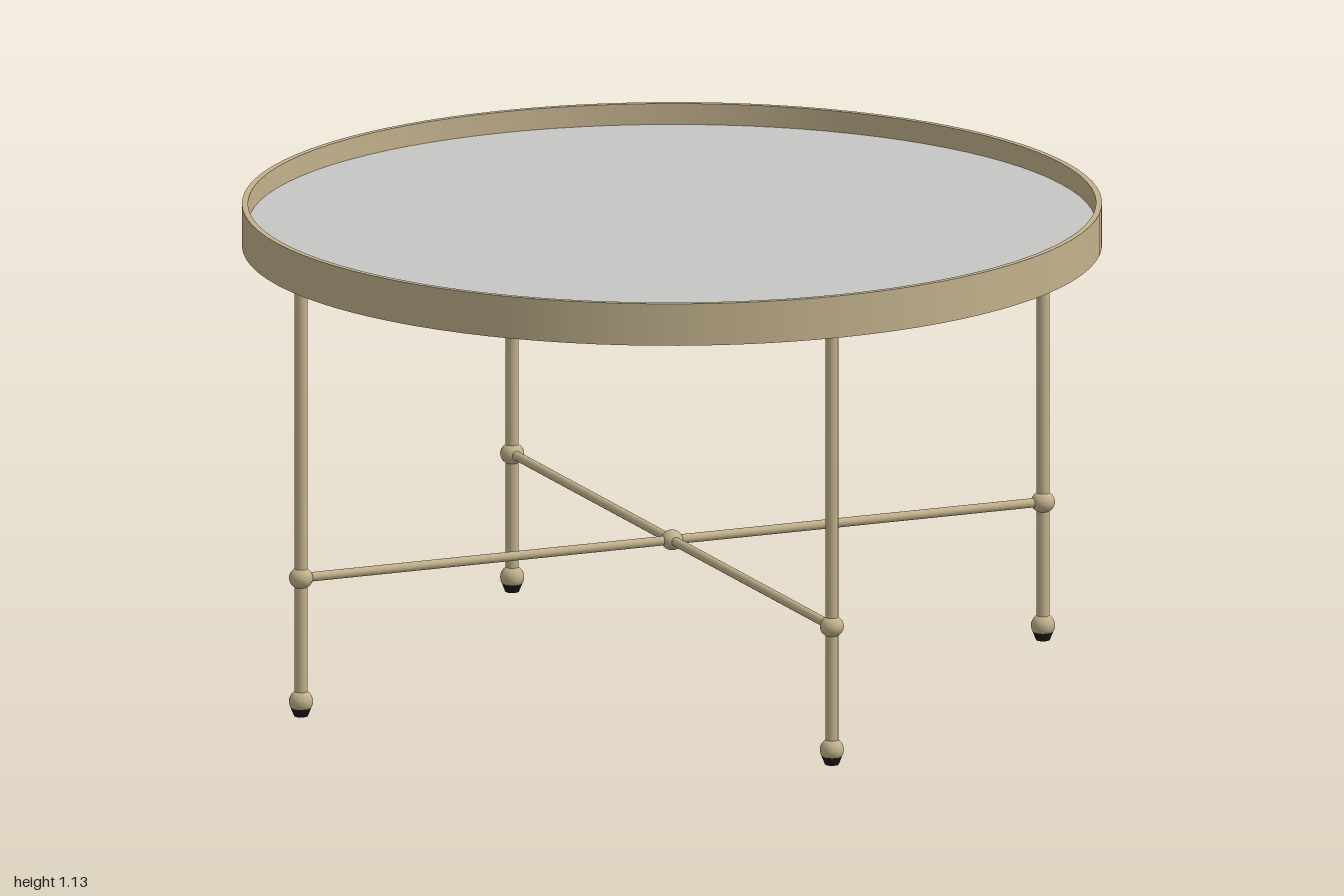
import * as THREE from 'three';

export function createModel() {
  const brass = new THREE.MeshStandardMaterial({ color: 0xc2b18c });
  brass.name = 'brass';
  const glass = new THREE.MeshStandardMaterial({ color: 0xc6c6c4 });
  glass.name = 'pale glass';
  const rubber = new THREE.MeshStandardMaterial({ color: 0x1c1a16 });
  rubber.name = 'dark rubber';

  const table = new THREE.Group();
  table.name = 'roundTrayTable';

  function add(parent, name, geometry, material, x = 0, y = 0, z = 0) {
    const mesh = new THREE.Mesh(geometry, material);
    mesh.name = name;
    mesh.position.set(x, y, z);
    parent.add(mesh);
    return mesh;
  }
  const ball = (r) => new THREE.SphereGeometry(r, 24, 16);

  const LEG_X = 0.94, LEG_Z = 0.93;
  const RIM_TOP = 1.135, TRAY_BOTTOM = 1.035, GLASS_Y = 1.085;

  // Tray: raised rim and base, each profile segment lathed separately for crisp edges
  const tray = new THREE.Group();
  tray.name = 'tray';
  tray.scale.z = 0.995;
  table.add(tray);
  const profile = [
    [0, TRAY_BOTTOM], [1, TRAY_BOTTOM], [1, RIM_TOP],
    [0.986, RIM_TOP], [0.986, GLASS_Y - 0.004],
  ].map(([r, y]) => new THREE.Vector2(r, y));
  const names = ['trayUnderside', 'rimOutside', 'rimTop', 'rimInside'];
  names.forEach((name, i) => {
    add(tray, name, new THREE.LatheGeometry([profile[i], profile[i + 1]], 96), brass);
  });
  add(tray, 'glassTop', new THREE.CylinderGeometry(0.986, 0.986, 0.008, 96), glass, 0, GLASS_Y - 0.004, 0);

  // Four legs, each with a collar ball, a ball foot and a small pad
  const spots = [['left', LEG_X, 0], ['right', -LEG_X, 0], ['front', 0, LEG_Z], ['back', 0, -LEG_Z]];
  for (const [side, x, z] of spots) {
    const leg = new THREE.Group();
    leg.name = side + 'Leg';
    leg.position.set(x, 0, z);
    table.add(leg);
    add(leg, 'post', new THREE.CylinderGeometry(0.015, 0.015, 1.005, 20), brass, 0, 0.5325, 0);
    add(leg, 'collarBall', ball(0.028), brass, 0, 0.33, 0).scale.y = 0.92;
    add(leg, 'footBall', ball(0.028), brass, 0, 0.035, 0);
    add(leg, 'footPad', new THREE.CylinderGeometry(0.024, 0.016, 0.02, 20), rubber, 0, 0.01, 0);
  }

  // Crossed rails: one pair under the tray, one pair as lower stretchers
  for (const [level, y, r, hub] of [['upper', 1.02, 0.011, 0.018], ['lower', 0.33, 0.011, 0.026]]) {
    const rail = (length) => new THREE.CylinderGeometry(r, r, length, 16);
    add(table, level + 'SideRail', rail(2 * LEG_X), brass, 0, y, 0).rotation.z = Math.PI / 2;
    add(table, level + 'FrontRail', rail(2 * LEG_Z), brass, 0, y, 0).rotation.x = Math.PI / 2;
    add(table, level + 'HubBall', ball(hub), brass, 0, y, 0).scale.y = level === 'upper' ? 0.8 : 0.92;
  }

  return table;
}
